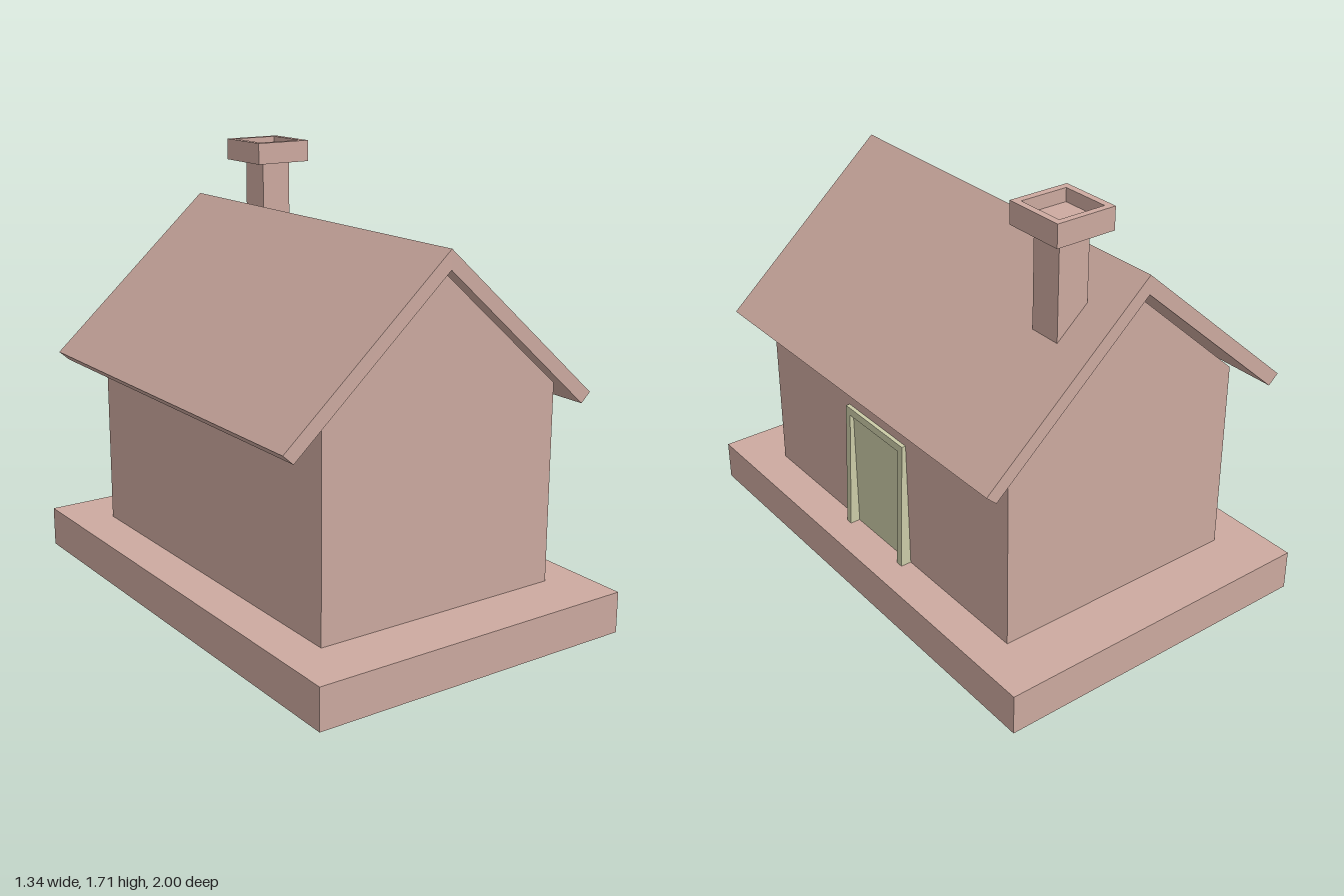
import * as THREE from 'three';

const material = (color) => new THREE.MeshStandardMaterial({ color, flatShading: true, side: THREE.DoubleSide });
const clay = material(0xcdaaa0);
const green = material(0xcccca8);

function addMesh(group, name, geometry, mat = clay) {
  const mesh = new THREE.Mesh(geometry, mat);
  mesh.name = name;
  group.add(mesh);
  return mesh;
}

// Flat-shaded geometry from a list of convex polygons (corners counterclockwise)
function fromFaces(faces) {
  const points = [];
  for (const f of faces) {
    for (let i = 1; i < f.length - 1; i++) points.push(f[0], f[i], f[i + 1]);
  }
  const geometry = new THREE.BufferGeometry();
  geometry.setAttribute('position', new THREE.Float32BufferAttribute(points.flat(), 3));
  geometry.computeVertexNormals();
  return geometry;
}

// Horizontal rectangle; y may be a function of x for a slanted cut
function rect(x0, x1, z0, z1, y) {
  const h = typeof y === 'function' ? y : () => y;
  return [[x0, h(x0), z1], [x1, h(x1), z1], [x1, h(x1), z0], [x0, h(x0), z0]];
}

// Skin joining successive loops, optionally closed over the last one
function loft(loops, closeEnd = false) {
  const faces = [];
  for (let k = 0; k < loops.length - 1; k++) {
    const a = loops[k], b = loops[k + 1];
    for (let i = 0; i < a.length; i++) {
      const j = (i + 1) % a.length;
      faces.push([a[i], a[j], b[j], b[i]]);
    }
  }
  if (closeEnd) faces.push(loops[loops.length - 1]);
  return fromFaces(faces);
}

// Extrusion of an outline of [x, y] points between two depths
function extrude(outline, z0, z1) {
  const shape = new THREE.Shape(outline.map(([x, y]) => new THREE.Vector2(x, y)));
  return new THREE.ExtrudeGeometry(shape, { depth: z1 - z0, bevelEnabled: false }).translate(0, 0, z0);
}

export function createModel() {
  const house = new THREE.Group();
  house.name = 'house';

  // Plinth: hollow underneath, with an opening below the house
  addMesh(house, 'plinth', loft([
    rect(-0.665, 0.67, -1, 1, 0),
    rect(-0.665, 0.67, -1, 1, 0.16),
    rect(-0.5, 0.52, -0.77, 0.77, 0.16),
  ]));

  // Walls: gabled shell, open at the bottom
  const section = [[-0.5, 0.03], [0.52, 0.03], [0.52, 0.93], [0.005, 1.385], [-0.5, 0.93]];
  const front = section.map(([x, y]) => [x, y, 0.77]);
  const back = section.map(([x, y]) => [x, y, -0.77]);
  const wallFaces = [front, [...back].reverse()];
  for (let i = 1; i < section.length; i++) {
    const j = (i + 1) % section.length;
    wallFaces.push([front[i], back[i], back[j], front[j]]);
  }
  addMesh(house, 'walls', fromFaces(wallFaces));

  // Roof: folded slab with overhanging eaves
  addMesh(house, 'roof', extrude([
    [0, 1.475], [-0.673, 0.88], [-0.632, 0.843],
    [0, 1.403], [0.63, 0.843], [0.67, 0.88],
  ], -0.85, 0.805));

  // Chimney: stack cut along the roof slope, and a cap with a shallow recess
  const chimney = new THREE.Group();
  chimney.name = 'chimney';
  house.add(chimney);
  addMesh(chimney, 'chimneyStack', loft([
    rect(0.135, 0.262, -0.697, -0.567, (x) => 1.39 - 0.9 * x),
    rect(0.135, 0.262, -0.697, -0.567, 1.62),
  ]));
  addMesh(chimney, 'chimneyCap', loft([
    rect(0.135, 0.262, -0.697, -0.567, 1.62),
    rect(0.08, 0.32, -0.755, -0.512, 1.62),
    rect(0.08, 0.32, -0.755, -0.512, 1.705),
    rect(0.106, 0.294, -0.73, -0.54, 1.705),
    rect(0.106, 0.294, -0.73, -0.54, 1.655),
  ], true));

  // Doorway on the left wall: the frame grows deeper towards the ground
  const door = new THREE.Group();
  door.name = 'door';
  house.add(door);
  const frame = extrude([
    [-0.21, 0.16], [-0.182, 0.16], [-0.188, 0.645], [0.135, 0.645],
    [0.143, 0.16], [0.172, 0.16], [0.162, 0.675], [-0.217, 0.675],
  ], 0, 1);
  const p = frame.attributes.position;
  for (let i = 0; i < p.count; i++) {
    p.setZ(i, p.getZ(i) * THREE.MathUtils.mapLinear(p.getY(i), 0.16, 0.675, 0.043, 0.016));
  }
  frame.rotateY(Math.PI / 2).translate(0.52, 0, 0);
  frame.computeVertexNormals();
  addMesh(door, 'doorFrame', frame, green);
  addMesh(door, 'doorPanel', fromFaces([[
    [0.523, 0.16, 0.185], [0.523, 0.16, -0.145], [0.523, 0.648, -0.137], [0.523, 0.648, 0.19],
  ]]), green);

  return house;
}
